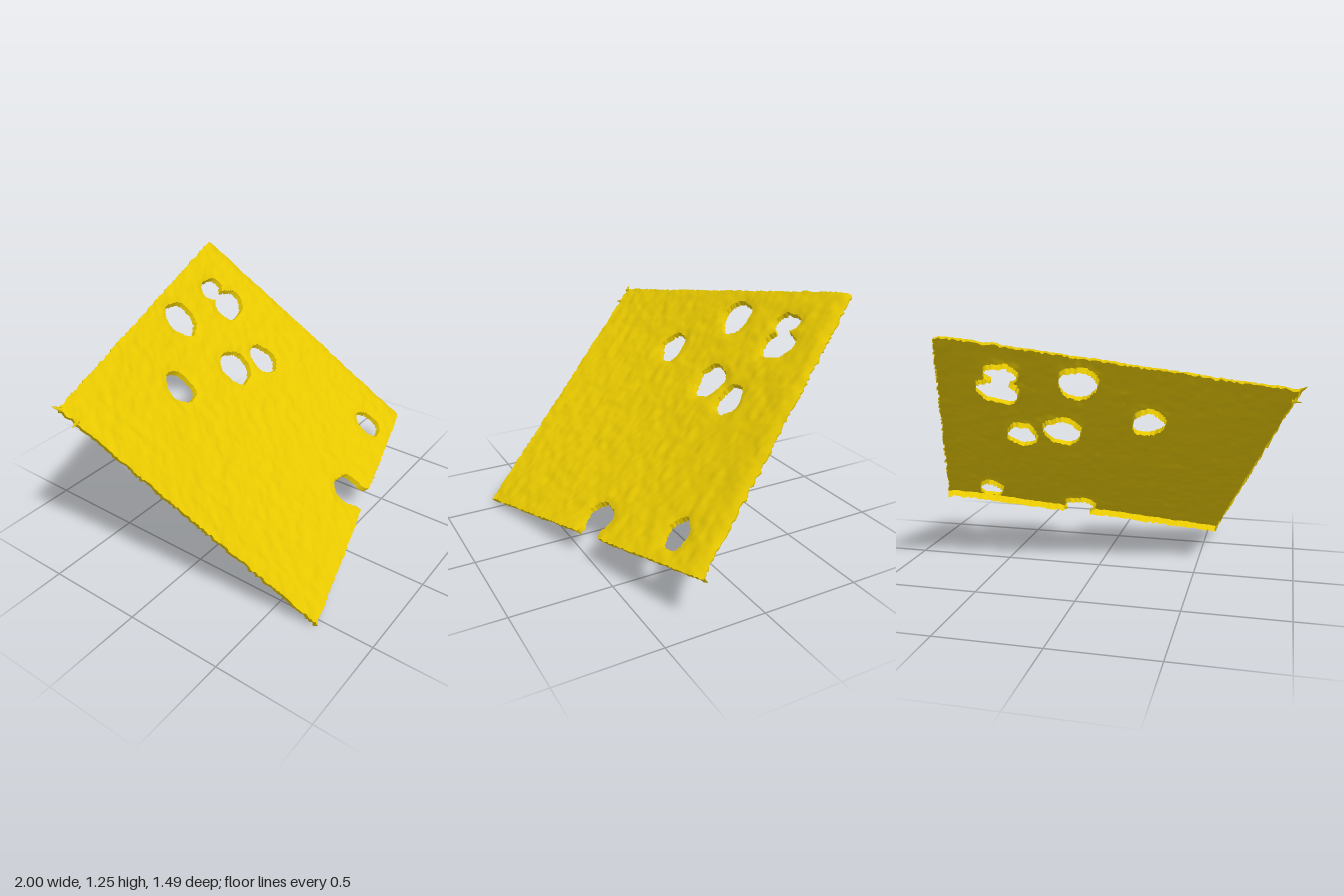
import * as THREE from 'three';

const HALF_W = 0.805, HALF_H = 0.757, NX = 134, NY = 126;

// Holes in slice coordinates: centre a, b and radii
const HOLES = [
  [0.164, 0.598, 0.092, 0.098], [-0.19, 0.388, 0.078, 0.09],
  [0.198, 0.213, 0.094, 0.097], [0.393, 0.115, 0.077, 0.088],
  [0.51, 0.575, 0.083, 0.056], [0.52, 0.448, 0.102, 0.082],
  [0.55, -0.608, 0.067, 0.085],
  [0.03, -0.66, 0.093, 0.09], [0.035, -0.75, 0.078, 0.06], // edge bite
];

const hash = (i, j) => {
  const s = Math.sin(i * 127.1 + j * 311.7) * 43758.5453;
  return (s - Math.floor(s)) * 2 - 1;
};

// Smooth lumps from blended lattice values
function lumps(x, y) {
  const i = Math.floor(x), j = Math.floor(y);
  const s = (x - i) ** 2 * (3 - 2 * (x - i)), t = (y - j) ** 2 * (3 - 2 * (y - j));
  const row = k => hash(i, k) * (1 - s) + hash(i + 1, k) * s;
  return row(j) * (1 - t) + row(j + 1) * t;
}

// Above 1 outside a hole, below 1 inside; the rim wobbles a little
function holeRatio([a, b, ra, rb], x, y) {
  const dx = (x - a) / ra, dy = (y - b) / rb;
  const t = Math.atan2(dy, dx);
  return Math.hypot(dx, dy) / (1 + 0.04 * Math.sin(3 * t + a * 40) + 0.03 * Math.sin(5 * t + b * 30));
}
const inHole = (x, y) => HOLES.some(h => holeRatio(h, x, y) < 1);
const nearestHole = (x, y) =>
  HOLES.reduce((p, h) => holeRatio(h, x, y) < holeRatio(p, x, y) ? h : p);

const gx = i => -HALF_W + 2 * HALF_W * i / NX;
const gy = j => -HALF_H + 2 * HALF_H * j / NY;

// Surface point of the sheet at a grid node
function topPoint(i, j) {
  let x = gx(i), y = gy(j);
  if (i === 0 || i === NX) x += 0.006 * hash(i, j);
  if (j === 0 || j === NY) y += 0.005 * hash(i, j);
  // Nodes inside a hole slide out to its rim
  for (const h of HOLES) {
    const r = holeRatio(h, x, y);
    if (r < 1 && r > 0.05) {
      x = h[0] + (x - h[0]) / r;
      y = h[1] + (y - h[1]) / r;
    }
  }
  // Shallow sag across the middle, plus a lumpy surface
  let z = -0.055 * (1 - (x / HALF_W) ** 2) * (1 - (y / HALF_H) ** 2);
  z += 0.004 * lumps(x * 22, y * 22) + 0.002 * lumps(x * 45 + 9, y * 45);
  z -= 0.007 * Math.max(0, 1 - (holeRatio(nearestHole(x, y), x, y) - 1) / 0.4); // soft rims
  z -= 0.015 * Math.max(0, 1 - (HALF_W - x) / 0.07) ** 2;      // rounded right edge
  z -= 0.01 * Math.exp(-((x + 0.487) ** 2 + (y + 0.547) ** 2) / 0.0014); // dimple
  return [x, y, z];
}

// Lower end of the turned-down lip beneath a rim node
function lipPoint(i, j) {
  const [x, y, z] = topPoint(i, j);
  const jitter = 0.005 * hash(j, i);
  if (j === NY) return [x, y * 0.997, z - 0.01 - jitter];
  if (j === 0) return [x * 0.99, y * 0.995, z - 0.04 - jitter];
  if (i === NX) return [x * 0.997, y, z - 0.008 - jitter];
  if (i === 0) return [x * 0.985, y, z - 0.032 - jitter];
  const [a, b] = nearestHole(x, y);
  return [x + (a - x) * 0.07, y + (b - y) * 0.07, z - 0.026 - jitter];
}

// Collects shared points and faces into one smooth geometry
function builder() {
  const points = [], faces = [], ids = new Map();
  return {
    node(key, make) {
      if (!ids.has(key)) {
        ids.set(key, points.length / 3);
        points.push(...make());
      }
      return ids.get(key);
    },
    quad(a, b, c, d) { faces.push(a, b, c, a, c, d); },
    geometry() {
      const g = new THREE.BufferGeometry();
      g.setAttribute('position', new THREE.Float32BufferAttribute(points, 3));
      g.setIndex(faces);
      g.computeVertexNormals();
      return g;
    },
  };
}

export function createModel() {
  const model = new THREE.Group();
  model.name = 'cheeseSlice';
  const cheese = new THREE.MeshStandardMaterial({ color: 0xe7c800, side: THREE.DoubleSide });
  cheese.name = 'cheese yellow';

  const kept = (i, j) => i >= 0 && j >= 0 && i < NX && j < NY &&
    !inHole((gx(i) + gx(i + 1)) / 2, (gy(j) + gy(j + 1)) / 2);
  const sheet = builder(), lips = builder();
  const top = (b, [i, j]) => b.node('t' + i + ',' + j, () => topPoint(i, j));
  const low = (b, [i, j]) => b.node('l' + i + ',' + j, () => lipPoint(i, j));

  for (let j = 0; j < NY; j++) for (let i = 0; i < NX; i++) {
    if (!kept(i, j)) continue;
    const c = [[i, j], [i + 1, j], [i + 1, j + 1], [i, j + 1]];
    sheet.quad(...c.map(p => top(sheet, p)));
    // A lip hangs wherever the neighbouring cell is missing
    [[0, -1], [1, 0], [0, 1], [-1, 0]].forEach(([di, dj], k) => {
      if (kept(i + di, j + dj)) return;
      const p = c[k], q = c[(k + 1) % 4];
      lips.quad(low(lips, p), low(lips, q), top(lips, q), top(lips, p));
    });
  }

  const add = (name, geometry) => {
    const mesh = new THREE.Mesh(geometry, cheese);
    mesh.name = name;
    model.add(mesh);
    return mesh;
  };
  add('sheet', sheet.geometry());
  add('rimLips', lips.geometry());

  // Torn crumbs at the upper corner
  [[-0.81, 0.765, 0.5], [-0.815, 0.66, 1.6]].forEach(([x, y, turn]) => {
    const crumb = add('crumb', new THREE.ConeGeometry(0.012, 0.05, 5));
    crumb.position.set(x, y, 0);
    crumb.rotation.z = turn;
  });

  // Lean the slice back, turned askew
  const u = new THREE.Vector3(0.956, 0.151, -0.252).normalize();
  const n = new THREE.Vector3(0.057, 0.746, 0.664).normalize();
  const v = new THREE.Vector3().crossVectors(n, u).normalize();
  n.crossVectors(u, v);
  model.quaternion.setFromRotationMatrix(new THREE.Matrix4().makeBasis(u, v, n));
  model.position.set(0, 0.64, 0);
  return model;
}
